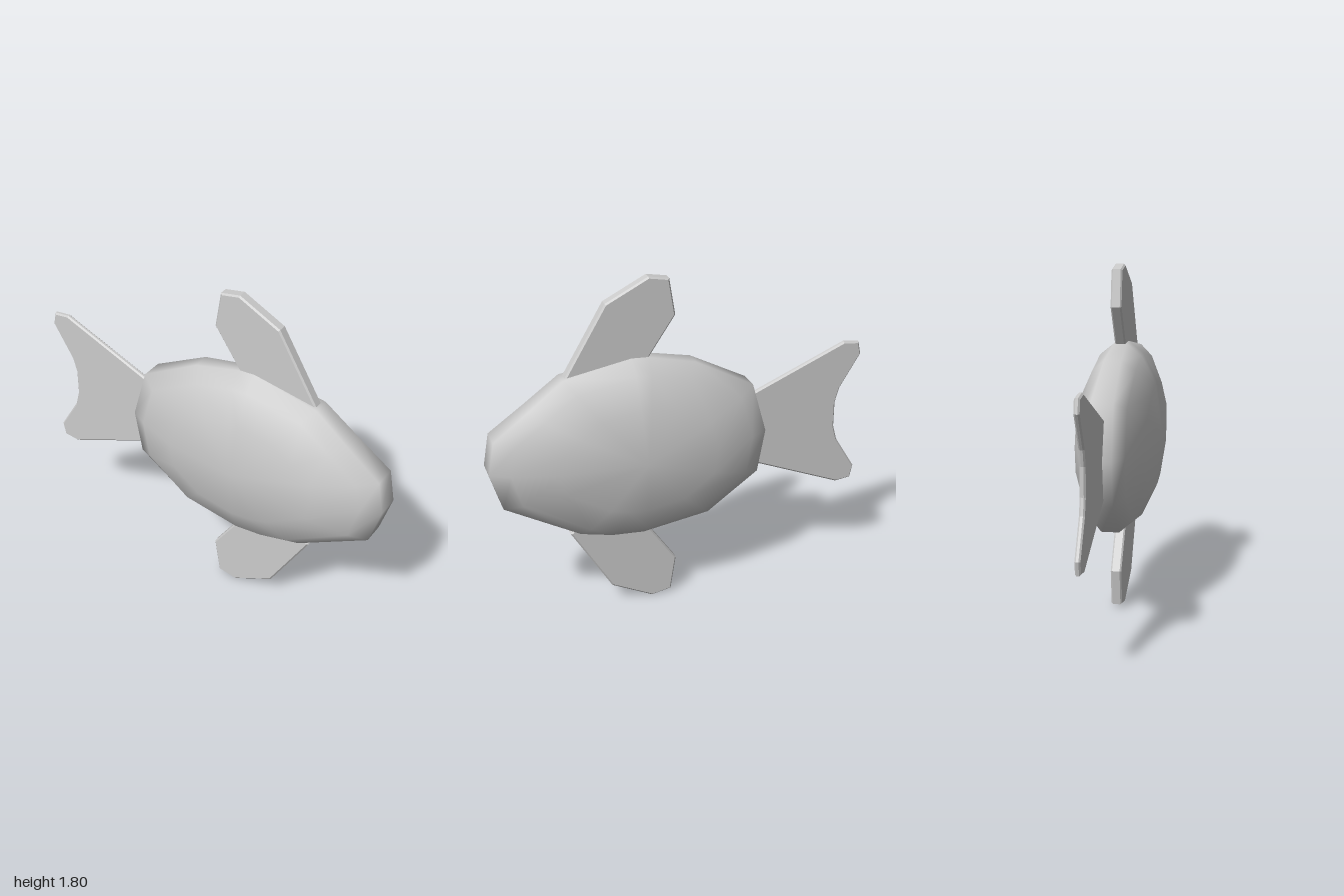
import * as THREE from 'three';

const material = new THREE.MeshStandardMaterial({ color: 0xcccccc });
const CX = 0.26, CY = 0.9;

// Side outline of the body, counter-clockwise seen from the front
const bodyOutline = [
  [1, 0.9], [0.97, 1.07], [0.79, 1.2], [0.61, 1.335], [0.26, 1.395], [0.17, 1.39], [-0.07, 1.335],
  [-0.375, 1.17], [-0.45, 0.9], [-0.41, 0.67], [-0.14, 0.47], [0.21, 0.41], [0.38, 0.425],
  [0.55, 0.47], [0.94, 0.7],
];

// Lens-shaped body: the outline shrinks in rings towards both cheeks
function bodyGeometry() {
  const n = bodyOutline.length;
  const rings = [[0.57, 0.18], [0.87, 0.11], [1, 0.05], [1, -0.05], [0.87, -0.11], [0.57, -0.18]];
  const pos = [CX - 0.02, CY, 0.22];
  const index = [];
  for (const [s, z] of rings) {
    for (const [x, y] of bodyOutline) {
      // the rim is thicker at nose and tail than at back and belly
      const rim = s === 1 ? Math.sign(z) * (0.03 + 0.03 * Math.abs(x - CX) / 0.74) : z;
      pos.push(CX + (x - CX) * s, CY + (y - CY) * s, rim);
    }
  }
  const last = pos.length / 3;
  pos.push(CX - 0.02, CY, -0.22);
  for (let i = 0; i < n; i++) {
    const j = (i + 1) % n;
    index.push(0, 1 + i, 1 + j);
    for (let k = 0; k < rings.length - 1; k++) {
      const a = 1 + k * n, b = a + n;
      index.push(a + i, b + i, b + j, a + i, b + j, a + j);
    }
    const a = 1 + (rings.length - 1) * n;
    index.push(a + i, last, a + j);
  }
  const geo = new THREE.BufferGeometry();
  geo.setAttribute('position', new THREE.Float32BufferAttribute(pos, 3));
  geo.setIndex(index);
  geo.computeVertexNormals();
  return geo;
}

// Thin plate with softened edges, centred on z = 0
function plate(name, points, half) {
  const bevel = 0.008;
  const shape = new THREE.Shape(points.map(([x, y]) => new THREE.Vector2(x, y)));
  const geo = new THREE.ExtrudeGeometry(shape, {
    depth: 2 * (half - bevel), bevelThickness: bevel, bevelSize: bevel, bevelOffset: -bevel, bevelSegments: 1,
  });
  geo.translate(0, 0, bevel - half);
  const mesh = new THREE.Mesh(geo, material);
  mesh.name = name;
  return mesh;
}

export function createModel() {
  const model = new THREE.Group();
  model.name = 'fish';

  const body = new THREE.Mesh(bodyGeometry(), material);
  body.name = 'body';
  model.add(body);

  // Back and belly fins mirror each other about the body axis
  const fin = [[0.6, 1.33], [0.385, 1.69], [0.165, 1.8], [0.06, 1.78], [0.03, 1.59], [0.17, 1.385], [0.22, 1.3], [0.55, 1.28]];
  const mirror = (pts) => pts.map(([x, y]) => [x, 2 * CY - y]).reverse();
  model.add(plate('backFin', fin, 0.028));
  model.add(plate('bellyFin', mirror(fin), 0.028));

  // Forked tail fin
  const half = [[-0.35, 1.08], [-0.9, 1.31], [-0.985, 1.3], [-1, 1.23], [-0.89, 1.05], [-0.868, 0.97]];
  model.add(plate('tailFin', [...half, ...mirror(half)], 0.014));

  return model;
}
